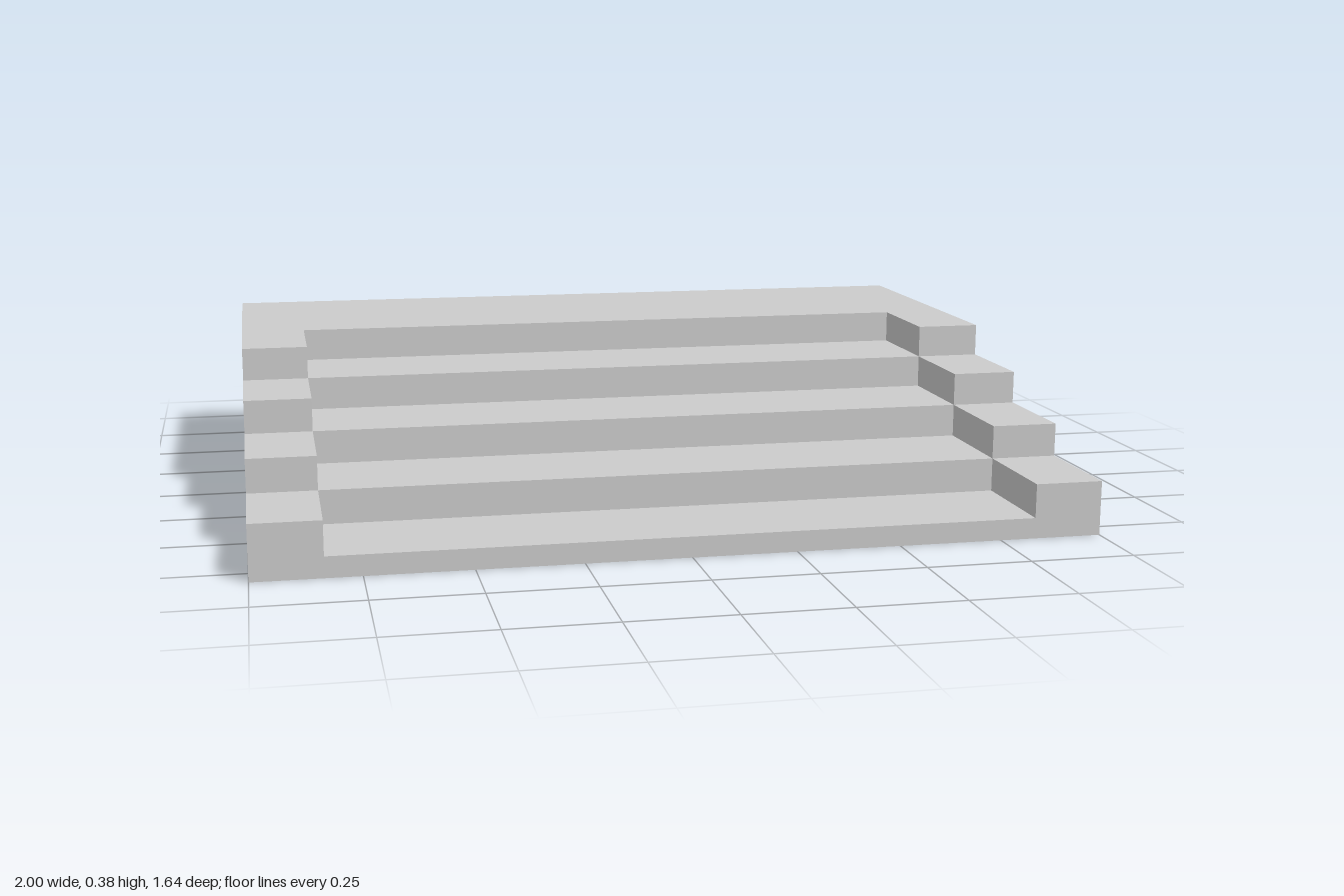
import * as THREE from 'three';

const HALF_WIDTH = 1, STAIR_HALF = 0.835, HALF_DEPTH = 0.82;
const RUN = HALF_DEPTH / 3, RISE = 0.0825, TOP = 0.38;

// Side outline in (z, y): treads climb from the front edge to a landing at the back
function steppedProfile(firstHeight, treads) {
  const shape = new THREE.Shape();
  shape.moveTo(-HALF_DEPTH, 0);
  shape.lineTo(HALF_DEPTH, 0);
  for (let i = 0; i < treads; i++) {
    const y = firstHeight + i * RISE;
    shape.lineTo(HALF_DEPTH - i * RUN, y);
    shape.lineTo(HALF_DEPTH - (i + 1) * RUN, y);
  }
  shape.lineTo(HALF_DEPTH - treads * RUN, TOP);
  shape.lineTo(-HALF_DEPTH, TOP);
  return shape;
}

// Extrude an outline across x, from x0 to x1
function acrossX(name, shape, x0, x1, material) {
  const geometry = new THREE.ExtrudeGeometry(shape, { depth: x1 - x0, bevelEnabled: false });
  geometry.rotateY(-Math.PI / 2); // outline x -> z, depth -> -x
  geometry.translate(x1, 0, 0);
  const mesh = new THREE.Mesh(geometry, material);
  mesh.name = name;
  return mesh;
}

export function createModel() {
  const group = new THREE.Group();
  group.name = 'steppedPlatform';
  const material = new THREE.MeshStandardMaterial({ color: 0xcccccc });

  // Recessed flight of four treads, rising to the landing
  group.add(acrossX('stairFlight', steppedProfile(TOP - 4 * RISE, 4), -STAIR_HALF, STAIR_HALF, material));

  // Side walls stand one riser above the treads
  const wall = steppedProfile(TOP - 3 * RISE, 3);
  group.add(acrossX('leftSideWall', wall, STAIR_HALF, HALF_WIDTH, material));
  group.add(acrossX('rightSideWall', wall, -HALF_WIDTH, -STAIR_HALF, material));
  return group;
}
